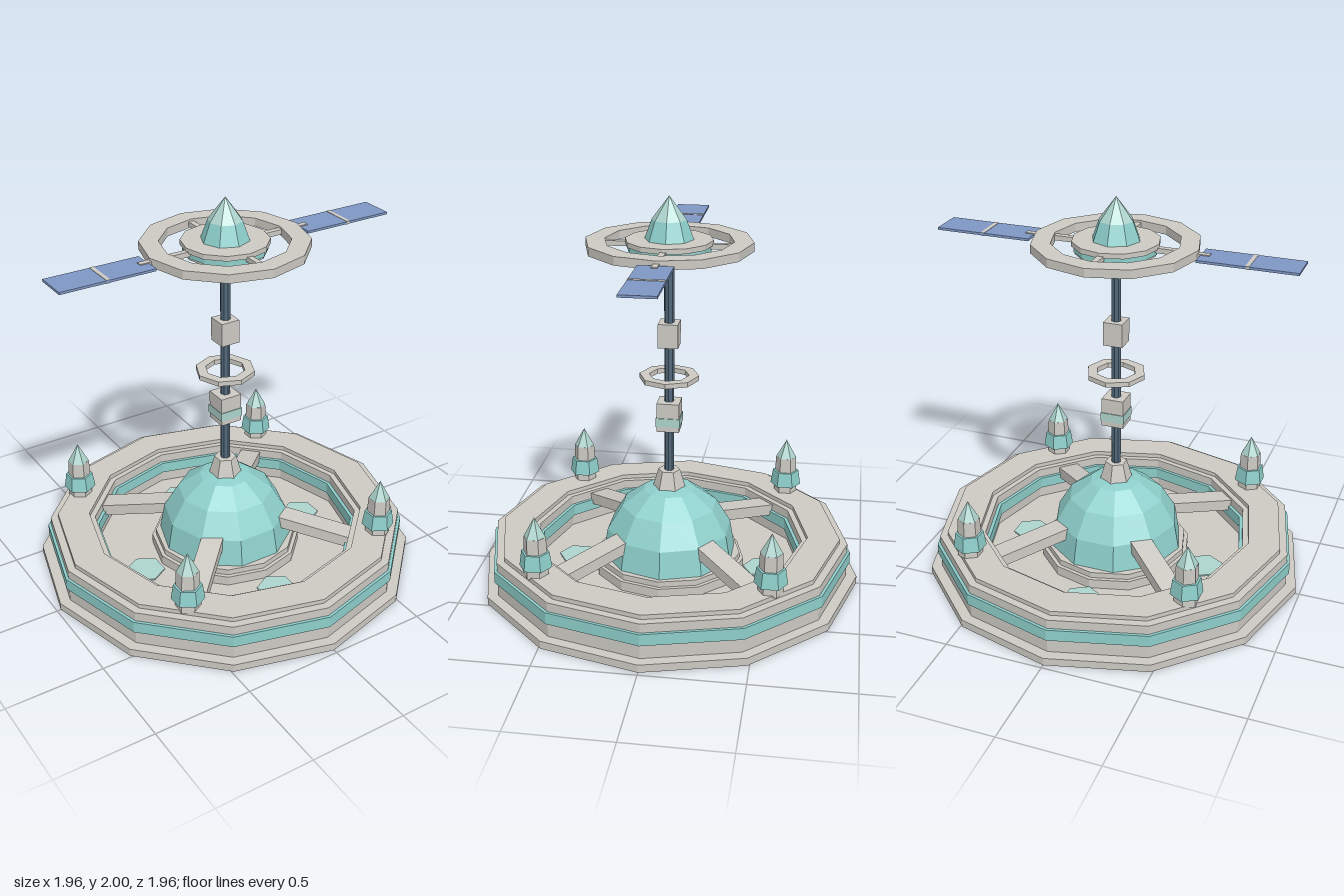
import * as THREE from 'three';

const mat = (name, color) => {
  const m = new THREE.MeshStandardMaterial({ color });
  m.name = name;
  return m;
};

export function createModel() {
  const model = new THREE.Group();
  model.name = 'domedStation';
  const hull = mat('hullGrey', 0xcdcac4);
  const teal = mat('teal', 0x8ecfcb);
  const pale = mat('paleGlass', 0xaed4cd);
  const blue = mat('panelBlue', 0x7f97c4);
  const slate = mat('mastSlate', 0x52687a);

  // Faceted mesh helper
  const add = (name, geo, material, parent = model) => {
    const g = geo.index ? geo.toNonIndexed() : geo;
    g.computeVertexNormals();
    const mesh = new THREE.Mesh(g, material);
    mesh.name = name;
    parent.add(mesh);
    return mesh;
  };
  // Solid prism or frustum between two heights
  const prism = (name, material, rBottom, rTop, y0, y1, sides, parent) => {
    const geo = rTop === 0
      ? new THREE.ConeGeometry(rBottom, y1 - y0, sides)
      : new THREE.CylinderGeometry(rTop, rBottom, y1 - y0, sides);
    return add(name, geo.translate(0, (y0 + y1) / 2, 0), material, parent);
  };
  // Ring with a rectangular section
  const ring = (name, material, ri, ro, y0, y1, sides) => {
    const pts = [[ri, y0], [ro, y0], [ro, y1], [ri, y1], [ri, y0]];
    return add(name, new THREE.LatheGeometry(pts.map(p => new THREE.Vector2(...p)), sides), material);
  };
  const box = (name, material, w, h, d, x, y, z, parent) =>
    add(name, new THREE.BoxGeometry(w, h, d).translate(x, y, z), material, parent);

  // Round platform with a raised outer wall
  prism('basePlate', hull, 0.98, 0.98, 0, 0.04, 12);
  prism('courtFloor', hull, 0.7, 0.7, 0.03, 0.05, 12);
  ring('outerWall', hull, 0.69, 0.925, 0.04, 0.222, 12);
  ring('wallBand', teal, 0.672, 0.94, 0.115, 0.175, 12);
  ring('wallRim', hull, 0.72, 0.885, 0.22, 0.245, 12);

  // Floor windows
  for (const [x, z] of [[0, 0.49], [0, -0.49], [0.49, 0], [-0.49, 0]]) {
    prism('floorWindow', pale, 0.1, 0.1, 0.05, 0.057, 6).position.set(x, 0, z);
  }

  // Central dome
  prism('domeFooting', hull, 0.39, 0.39, 0.05, 0.1, 12);
  prism('domeCollar', hull, 0.37, 0.37, 0.1, 0.13, 12);
  add('dome', new THREE.SphereGeometry(0.35, 10, 4, 0, Math.PI * 2, 0, Math.PI / 2)
    .scale(1, 0.39 / 0.35, 1).translate(0, 0.12, 0), teal);
  prism('domeNeck', hull, 0.092, 0.056, 0.46, 0.585, 6);

  // Sloping braces from dome to wall
  for (let i = 0; i < 4; i++) {
    const arm = new THREE.Group();
    arm.name = 'brace';
    arm.rotation.y = Math.PI / 4 + i * Math.PI / 2;
    model.add(arm);
    const beam = box('braceBeam', hull, 0.43, 0.06, 0.11, 0, 0, 0, arm);
    beam.position.set(0.45, 0.22, 0);
    beam.rotation.z = -0.19;
  }

  // Four turrets on the rim
  for (const sx of [-1, 1]) for (const sz of [-1, 1]) {
    const turret = new THREE.Group();
    turret.name = 'turret';
    turret.position.set(0.57 * sx, 0, 0.57 * sz);
    model.add(turret);
    prism('turretBody', hull, 0.063, 0.055, 0.235, 0.445, 6, turret);
    prism('turretBand', teal, 0.082, 0.07, 0.285, 0.365, 6, turret);
    prism('turretTip', pale, 0.054, 0, 0.445, 0.545, 6, turret);
  }

  // Mast and its modules
  prism('mast', slate, 0.025, 0.025, 0.55, 1.68, 8);
  box('lowerModule', hull, 0.114, 0.15, 0.114, 0, 0.885, 0);
  box('lowerModuleBand', pale, 0.122, 0.045, 0.122, 0, 0.86, 0);
  box('upperModule', hull, 0.1, 0.122, 0.1, 0, 1.312, 0);
  ring('mastRing', hull, 0.1, 0.15, 1.075, 1.1, 8);

  // Top hub
  prism('hubUnderside', hull, 0.055, 0.125, 1.665, 1.73, 8);
  prism('hubLowerDisc', hull, 0.2, 0.2, 1.727, 1.737, 12);
  prism('hubBand', teal, 0.205, 0.205, 1.737, 1.765, 12);
  prism('hubUpperDisc', hull, 0.215, 0.215, 1.765, 1.79, 12);
  prism('hubTurret', teal, 0.12, 0.085, 1.79, 1.885, 8);
  prism('hubTip', pale, 0.085, 0, 1.885, 2, 8);

  // Docking ring and its spokes
  ring('dockRing', hull, 0.315, 0.41, 1.742, 1.785, 12);
  for (let i = 0; i < 4; i++) {
    box('ringSpoke', hull, 0.15, 0.025, 0.03, 0.26, 1.762, 0).rotation.y = i * Math.PI / 2;
  }

  // Solar wings
  for (const s of [-1, 1]) {
    box('solarPanel', blue, 0.485, 0.012, 0.17, s * 0.6625, 1.76, 0);
    box('panelStrip', hull, 0.02, 0.016, 0.17, s * 0.663, 1.76, 0);
    box('panelMount', hull, 0.08, 0.018, 0.03, s * 0.425, 1.762, 0);
  }
  return model;
}
